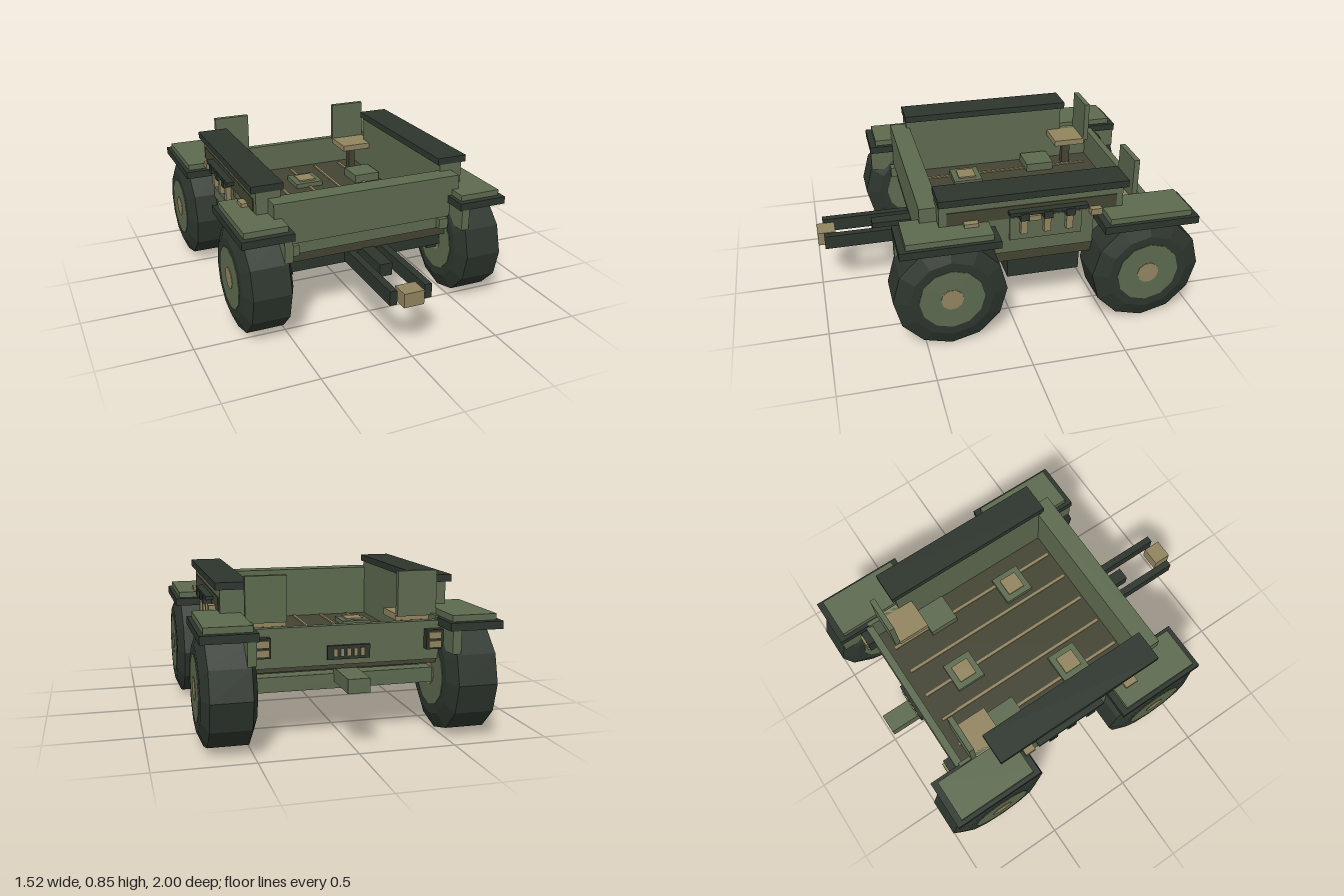
import * as THREE from 'three';

const mat = (name, color) => {
  const m = new THREE.MeshStandardMaterial({ color, flatShading: true });
  m.name = name;
  return m;
};

export function createModel() {
  const green = mat('fieldGreen', 0x5d6a4f);
  const dark = mat('darkGreen', 0x2d352d);
  const olive = mat('deepOlive', 0x444433);
  const tan = mat('tan', 0x91845f);
  const root = new THREE.Group();
  root.name = 'utilityCart';

  // Box given by its extents on each axis
  const box = (name, m, x0, x1, y0, y1, z0, z1, parent = root) => {
    const mesh = new THREE.Mesh(new THREE.BoxGeometry(x1 - x0, y1 - y0, z1 - z0), m);
    mesh.position.set((x0 + x1) / 2, (y0 + y1) / 2, (z0 + z1) / 2);
    mesh.name = name;
    parent.add(mesh);
    return mesh;
  };
  // The same box on both sides of x = 0
  const pair = (name, m, x0, x1, ...rest) => {
    box(name, m, x0, x1, ...rest);
    box(name, m, -x1, -x0, ...rest);
  };

  // Tub: floor, front locker and tailgate
  box('floor', olive, -0.48, 0.48, 0.375, 0.43, -0.78, 0.47);
  box('frontLocker', green, -0.54, 0.54, 0.49, 0.725, 0.38, 0.49);
  box('frontSill', green, -0.48, 0.48, 0.425, 0.49, 0.38, 0.48);
  box('tailgate', green, -0.5, 0.5, 0.4, 0.6, -0.8, -0.76);
  pair('frontTab', green, 0.415, 0.47, 0.43, 0.49, 0.48, 0.515);
  for (let i = -2; i <= 2; i++) {
    box('floorStrip', tan, i * 0.172 - 0.008, i * 0.172 + 0.008, 0.43, 0.438, -0.715, 0.365);
  }

  // Side walls with padded rails
  pair('innerWall', green, 0.47, 0.49, 0.43, 0.62, -0.78, 0.4);
  pair('upperWall', green, 0.47, 0.605, 0.61, 0.765, -0.585, 0.4);
  pair('lowerWall', green, 0.48, 0.6, 0.44, 0.61, -0.43, 0.107);
  pair('sideSill', olive, 0.48, 0.59, 0.38, 0.44, -0.43, 0.107);
  pair('topRail', dark, 0.455, 0.63, 0.765, 0.803, -0.605, 0.405);
  pair('wallInset', olive, 0.605, 0.61, 0.65, 0.72, -0.55, 0.36);

  // Tool rack on each side
  pair('rackPanel', green, 0.6, 0.612, 0.52, 0.65, -0.36, 0.03);
  pair('rackBar', dark, 0.605, 0.65, 0.68, 0.7, -0.38, 0.04);
  for (const z of [-0.04, -0.165, -0.285]) {
    pair('rackTool', tan, 0.612, 0.64, 0.565, 0.675, z - 0.018, z + 0.018);
    pair('toolClip', dark, 0.61, 0.655, 0.65, 0.69, z - 0.024, z + 0.024);
  }
  pair('toolHead', tan, 0.612, 0.636, 0.635, 0.665, -0.13, -0.05);
  pair('sideMarker', tan, 0.605, 0.645, 0.645, 0.665, 0.2, 0.275);
  pair('sideMarker', tan, 0.605, 0.645, 0.63, 0.665, -0.46, -0.4);

  // Fenders over the wheels
  for (const z of [0.367, -0.7]) {
    pair('fender', dark, 0.477, 0.757, 0.572, 0.613, z - 0.26, z + 0.26);
    pair('fenderPad', green, 0.5, 0.735, 0.613, 0.645, z - 0.225, z + 0.225);
    pair('wheelWell', green, 0.49, 0.535, 0.455, 0.575, z - 0.258, z + 0.258);
  }

  // Wheels: twelve-sided tyres with hubs
  const tyreGeo = new THREE.LatheGeometry(
    [[0, -0.137], [0.22, -0.137], [0.3, -0.103], [0.3, 0.103], [0.22, 0.137], [0, 0.137]]
      .map(([r, h]) => new THREE.Vector2(r, h)), 12).rotateZ(Math.PI / 2);
  const hubGeo = new THREE.CylinderGeometry(0.172, 0.172, 0.28, 12).rotateZ(Math.PI / 2);
  const capGeo = new THREE.CylinderGeometry(0.06, 0.06, 0.285, 10).rotateZ(Math.PI / 2);
  for (const x of [0.617, -0.617]) {
    for (const z of [0.367, -0.7]) {
      const wheel = new THREE.Group();
      wheel.name = 'wheel';
      [['tyre', tyreGeo, dark], ['hub', hubGeo, green], ['hubCap', capGeo, tan]].forEach(([n, g, m]) => {
        const mesh = new THREE.Mesh(g, m);
        mesh.name = n;
        wheel.add(mesh);
      });
      wheel.position.set(x, 0.3, z);
      root.add(wheel);
    }
  }

  // Chassis below the tub
  box('chassisPan', dark, -0.41, 0.41, 0.29, 0.352, -0.62, 0.42);
  box('frontAxle', dark, -0.48, 0.48, 0.29, 0.352, 0.32, 0.42);
  box('rearAxle', green, -0.48, 0.48, 0.262, 0.34, -0.74, -0.66);
  pair('sideTank', dark, 0.29, 0.48, 0.2, 0.355, -0.405, 0.005);
  pair('axleBracket', dark, 0.41, 0.47, 0.265, 0.355, 0.33, 0.4);
  for (const z of [0.34, -0.6]) {
    pair('mount', dark, 0.222, 0.245, 0.35, 0.38, z - 0.03, z + 0.03);
  }

  // Tow bar at the front
  pair('towArm', dark, 0.077, 0.117, 0.298, 0.376, 0.36, 0.965);
  box('towBeam', dark, -0.036, 0.036, 0.31, 0.38, 0.36, 0.69);
  box('towCoupler', tan, -0.056, 0.056, 0.29, 0.367, 0.9, 1.0);

  // Rear hitch, vent and lamps
  box('rearHitch', green, -0.056, 0.056, 0.3, 0.372, -0.985, -0.72);
  box('rearVent', dark, -0.11, 0.11, 0.43, 0.5, -0.815, -0.8);
  for (let i = -2; i <= 2; i++) {
    box('ventSlot', tan, i * 0.035 - 0.01, i * 0.035 + 0.01, 0.445, 0.485, -0.822, -0.815);
  }
  pair('rearLampCase', dark, 0.4, 0.49, 0.46, 0.56, -0.84, -0.8);
  pair('rearLamp', tan, 0.41, 0.475, 0.515, 0.55, -0.852, -0.84);
  pair('rearLamp', tan, 0.41, 0.475, 0.47, 0.505, -0.852, -0.84);

  // Seats with posts, and lockers on the floor before them
  pair('seat', tan, 0.29, 0.5, 0.585, 0.62, -0.685, -0.5);
  pair('seatBack', green, 0.29, 0.5, 0.61, 0.845, -0.712, -0.682);
  pair('seatPost', olive, 0.36, 0.4, 0.43, 0.585, -0.62, -0.57);
  pair('floorLocker', green, 0.29, 0.455, 0.43, 0.48, -0.49, -0.32);

  // Floor hatches
  for (const [x, z] of [[-0.295, 0.07], [0.295, 0.07], [0, -0.46]]) {
    box('hatch', green, x - 0.086, x + 0.086, 0.43, 0.458, z - 0.086, z + 0.086);
    box('hatchLid', tan, x - 0.052, x + 0.052, 0.458, 0.467, z - 0.052, z + 0.052);
  }
  return root;
}
